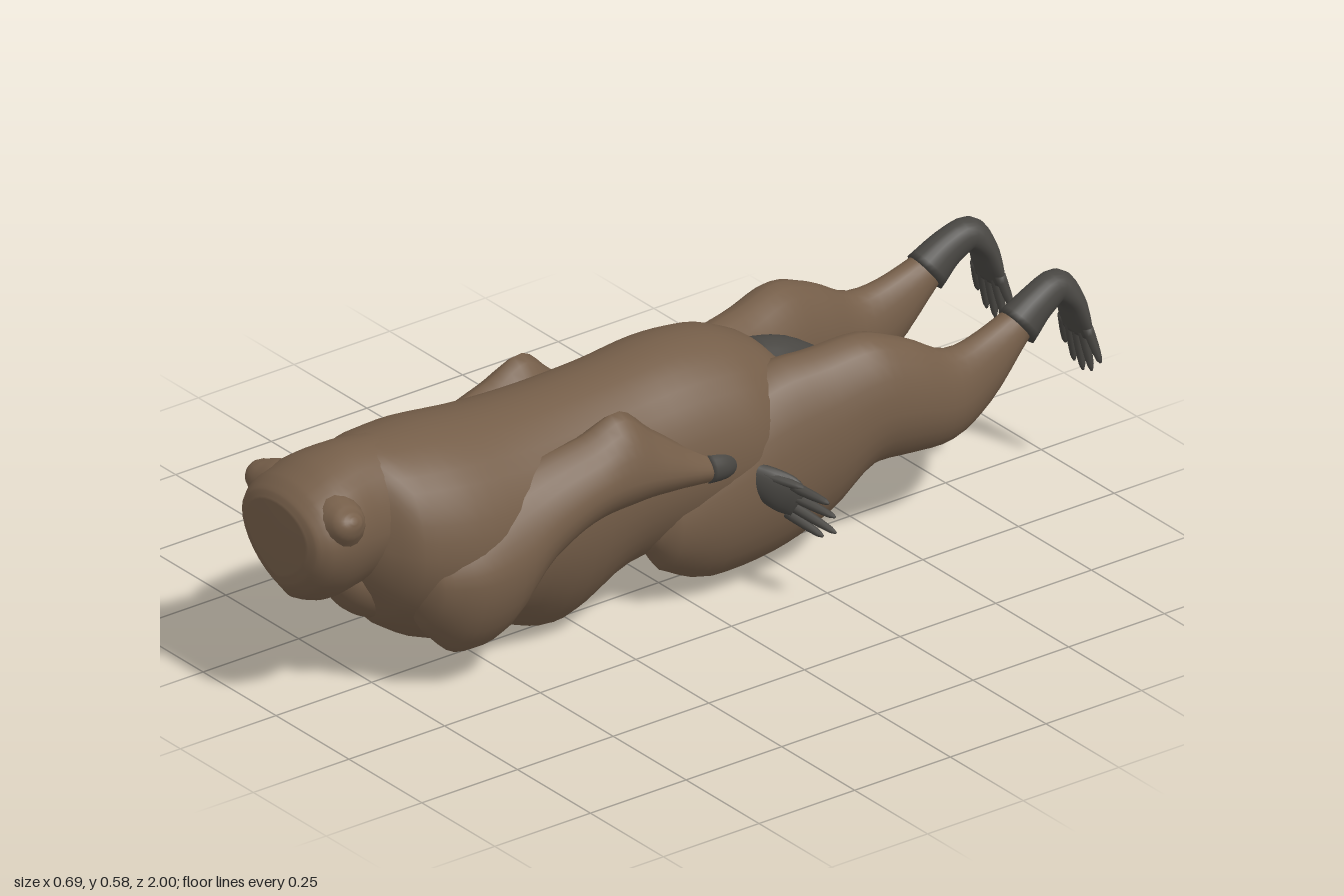
import * as THREE from 'three';

const brown = new THREE.MeshStandardMaterial({ color: 0x755e49 });
brown.name = 'brown fur';
const dark = new THREE.MeshStandardMaterial({ color: 0x484642 });
dark.name = 'dark skin';

// Smooth closed skin through rows of [z, x, y, halfWidth, up, down], front row first.
// ridge and keel turn the top and underside from round (0) to V-shaped (1);
// side, when given, tilts the rings to follow the path; s mirrors it in x.
function loft(name, material, rows, { s = 1, ridge = 0, keel = 0, side = null, n = 24, steps = 4 } = {}) {
  const path = new THREE.CatmullRomCurve3(rows.map(r => new THREE.Vector3(r[1] * s, r[2], r[0])));
  const size = new THREE.CatmullRomCurve3(
    rows.map(r => new THREE.Vector3(r[3], r[4], r[5] ?? r[4])), false, 'catmullrom', 0.4);
  const count = (rows.length - 1) * steps;
  const pos = [], idx = [];
  for (let i = -1; i <= count + 1; i++) {
    const t = THREE.MathUtils.clamp(i / count, 0, 1);
    const capped = i < 0 || i > count ? 0 : 1;
    const c = path.getPoint(t), r = size.getPoint(t);
    const tangent = side ? path.getTangent(t) : new THREE.Vector3(0, 0, -1);
    const u = new THREE.Vector3(...(side ?? [1, 0, 0]));
    u.addScaledVector(tangent, -u.dot(tangent)).normalize();
    const v = u.clone().cross(tangent);
    for (let j = 0; j < n; j++) {
      const a = (j / n) * Math.PI * 2, co = Math.cos(a), si = Math.sin(a);
      const bend = THREE.MathUtils.lerp(Math.abs(si), 1 - Math.abs(co), si > 0 ? ridge : keel);
      const h = si > 0 ? bend * r.y : -bend * r.z;
      const p = c.clone().addScaledVector(u, co * r.x * capped).addScaledVector(v, h * capped);
      pos.push(p.x, p.y, p.z);
    }
  }
  for (let i = 0; i < count + 2; i++) {
    for (let j = 0; j < n; j++) {
      const a = i * n + j, b = i * n + (j + 1) % n;
      idx.push(a, a + n, b, b, a + n, b + n);
    }
  }
  const g = new THREE.BufferGeometry();
  g.setAttribute('position', new THREE.Float32BufferAttribute(pos, 3));
  g.setIndex(idx);
  g.computeVertexNormals();
  const mesh = new THREE.Mesh(g, material);
  mesh.name = name;
  return mesh;
}

// Tapered finger between two [x, y, z] points
function finger(name, a, b, r, s) {
  const at = (t, k) => [
    a[2] + (b[2] - a[2]) * t, a[0] + (b[0] - a[0]) * t, a[1] + (b[1] - a[1]) * t, r * k, r * k];
  return loft(name, dark, [at(0, 1.1), at(0.5, 0.95), at(0.88, 0.65), at(1, 0.25)],
    { s, side: [0.3 * s, 0.5, 0.8], n: 8, steps: 3 });
}

export function createModel() {
  const model = new THREE.Group();
  model.name = 'animal';

  // Trunk with a keeled belly
  model.add(loft('body', brown, [
    [0.86, 0, 0.40, 0.05, 0.12, 0.08],
    [0.82, 0, 0.38, 0.12, 0.19, 0.15],
    [0.75, 0, 0.36, 0.188, 0.215, 0.22],
    [0.62, 0, 0.34, 0.218, 0.23, 0.275],
    [0.45, 0, 0.33, 0.208, 0.222, 0.285],
    [0.30, 0, 0.33, 0.195, 0.22, 0.33],
    [0.15, 0, 0.33, 0.19, 0.227, 0.25],
    [0.00, 0, 0.33, 0.197, 0.24, 0.23],
    [-0.12, 0, 0.33, 0.197, 0.228, 0.22],
    [-0.22, 0, 0.33, 0.17, 0.185, 0.19],
    [-0.32, 0, 0.32, 0.135, 0.1, 0.14],
    [-0.42, 0, 0.3, 0.09, 0.04, 0.09],
    [-0.46, 0, 0.28, 0.05, 0.02, 0.05],
  ], { keel: 0.2, n: 36 }));

  // Head with a flat face and a pointed chin
  model.add(loft('head', brown, [
    [1.0, 0, 0.43, 0.1, 0.065, 0.1],
    [0.99, 0, 0.43, 0.13, 0.085, 0.13],
    [0.96, 0, 0.43, 0.15, 0.11, 0.165],
    [0.90, 0, 0.43, 0.153, 0.137, 0.19],
    [0.82, 0, 0.42, 0.135, 0.16, 0.17],
    [0.68, 0, 0.42, 0.13, 0.15, 0.15],
  ], { keel: 0.25, n: 32 }));
  model.add(loft('throat', brown, [
    [0.87, 0, 0.30, 0.045, 0.06, 0.05],
    [0.83, 0, 0.28, 0.07, 0.08, 0.08],
    [0.77, 0, 0.26, 0.08, 0.1, 0.1],
    [0.65, 0, 0.24, 0.08, 0.1, 0.1],
  ], { keel: 0.1 }));

  // Tail curving down between the hind legs
  model.add(loft('tail', dark, [
    [-0.23, 0, 0.455, 0.05, 0.042],
    [-0.32, 0, 0.425, 0.053, 0.048],
    [-0.43, 0, 0.35, 0.053, 0.05],
    [-0.54, 0, 0.265, 0.051, 0.05],
    [-0.60, 0, 0.205, 0.043, 0.04],
    [-0.625, 0, 0.175, 0.025, 0.02],
  ], { side: [1, 0, 0] }));

  for (const s of [1, -1]) {
    const label = s > 0 ? 'left' : 'right';
    const add = (part, ...items) => {
      const g = new THREE.Group();
      g.name = label + part;
      g.add(...items);
      model.add(g);
    };

    // Ear tapering out of the corner of the head
    add('Ear', loft('ear', brown, [
      [0.915, 0.08, 0.46, 0.06, 0.075],
      [0.92, 0.12, 0.474, 0.052, 0.06],
      [0.925, 0.15, 0.487, 0.04, 0.038],
      [0.925, 0.165, 0.496, 0.025, 0.02],
      [0.925, 0.171, 0.5, 0.008, 0.007],
    ], { s, side: [0, 0, 1], n: 16 }));

    // Arm folded back along the flank, elbow raised
    add('Arm', loft('arm', brown, [
      [0.75, 0.12, 0.29, 0.03, 0.05, 0.06],
      [0.71, 0.122, 0.285, 0.08, 0.1, 0.13],
      [0.63, 0.127, 0.28, 0.11, 0.14, 0.195],
      [0.53, 0.135, 0.29, 0.107, 0.17, 0.19],
      [0.43, 0.145, 0.35, 0.095, 0.13, 0.12],
      [0.32, 0.16, 0.395, 0.084, 0.11, 0.095],
      [0.23, 0.167, 0.4, 0.075, 0.14, 0.085],
      [0.15, 0.172, 0.385, 0.062, 0.09, 0.065],
      [0.06, 0.176, 0.36, 0.045, 0.048, 0.045],
      [0.01, 0.177, 0.345, 0.036, 0.036, 0.035],
    ], { s, ridge: 0.3, keel: 0.25 }), loft('wrist', dark, [
      [0.018, 0.177, 0.347, 0.037, 0.036],
      [-0.025, 0.177, 0.342, 0.034, 0.034],
      [-0.06, 0.162, 0.335, 0.032, 0.03],
      [-0.09, 0.13, 0.32, 0.03, 0.025],
    ], { s }));

    // Hand spread outward
    const tips = [[0.335, 0.262, -0.19], [0.34, 0.228, -0.203], [0.342, 0.192, -0.203], [0.315, 0.177, -0.19]];
    add('Hand', loft('palm', dark, [
      [-0.1, 0.175, 0.297, 0.03, 0.018],
      [-0.128, 0.21, 0.275, 0.042, 0.021],
      [-0.153, 0.24, 0.255, 0.046, 0.017],
      [-0.167, 0.262, 0.24, 0.038, 0.011],
    ], { s, side: [0, 1, 0] }),
    ...tips.map((tip, i) => finger('finger', [0.252 - i * 0.006, 0.279 - i * 0.023, -0.158], tip, 0.011, s)),
    finger('thumb', [0.205, 0.3, -0.118], [0.28, 0.282, -0.168], 0.011, s));

    // Hind leg stretched backward
    add('HindLeg', loft('hindLeg', brown, [
      [0.12, 0.1, 0.21, 0.04, 0.05],
      [0.07, 0.094, 0.22, 0.085, 0.11, 0.13],
      [-0.05, 0.088, 0.24, 0.117, 0.18, 0.205],
      [-0.20, 0.102, 0.27, 0.11, 0.215, 0.22],
      [-0.32, 0.125, 0.31, 0.1, 0.188, 0.205],
      [-0.42, 0.145, 0.35, 0.095, 0.16, 0.15],
      [-0.52, 0.157, 0.335, 0.083, 0.14, 0.13],
      [-0.63, 0.165, 0.31, 0.06, 0.107, 0.105],
      [-0.73, 0.16, 0.345, 0.046, 0.085, 0.09],
      [-0.83, 0.155, 0.42, 0.038, 0.045, 0.05],
    ], { s, keel: 0.15 }));

    // Foot bent down at the ankle, toes hanging
    add('Foot', loft('foot', dark, [
      [-0.815, 0.157, 0.408, 0.043, 0.054],
      [-0.87, 0.155, 0.448, 0.037, 0.043],
      [-0.925, 0.15, 0.468, 0.035, 0.036],
      [-0.96, 0.15, 0.43, 0.045, 0.025],
      [-0.974, 0.15, 0.38, 0.053, 0.018],
      [-0.98, 0.15, 0.345, 0.05, 0.011],
    ], { s, side: [1, 0, 0] }),
    ...[-2, -1, 0, 1, 2].map(k => finger('toe', [0.15 + k * 0.021, 0.37, -0.975],
      [0.15 + k * 0.03, 0.25 + k * k * 0.01, -0.995], 0.011, s)));
  }
  return model;
}
